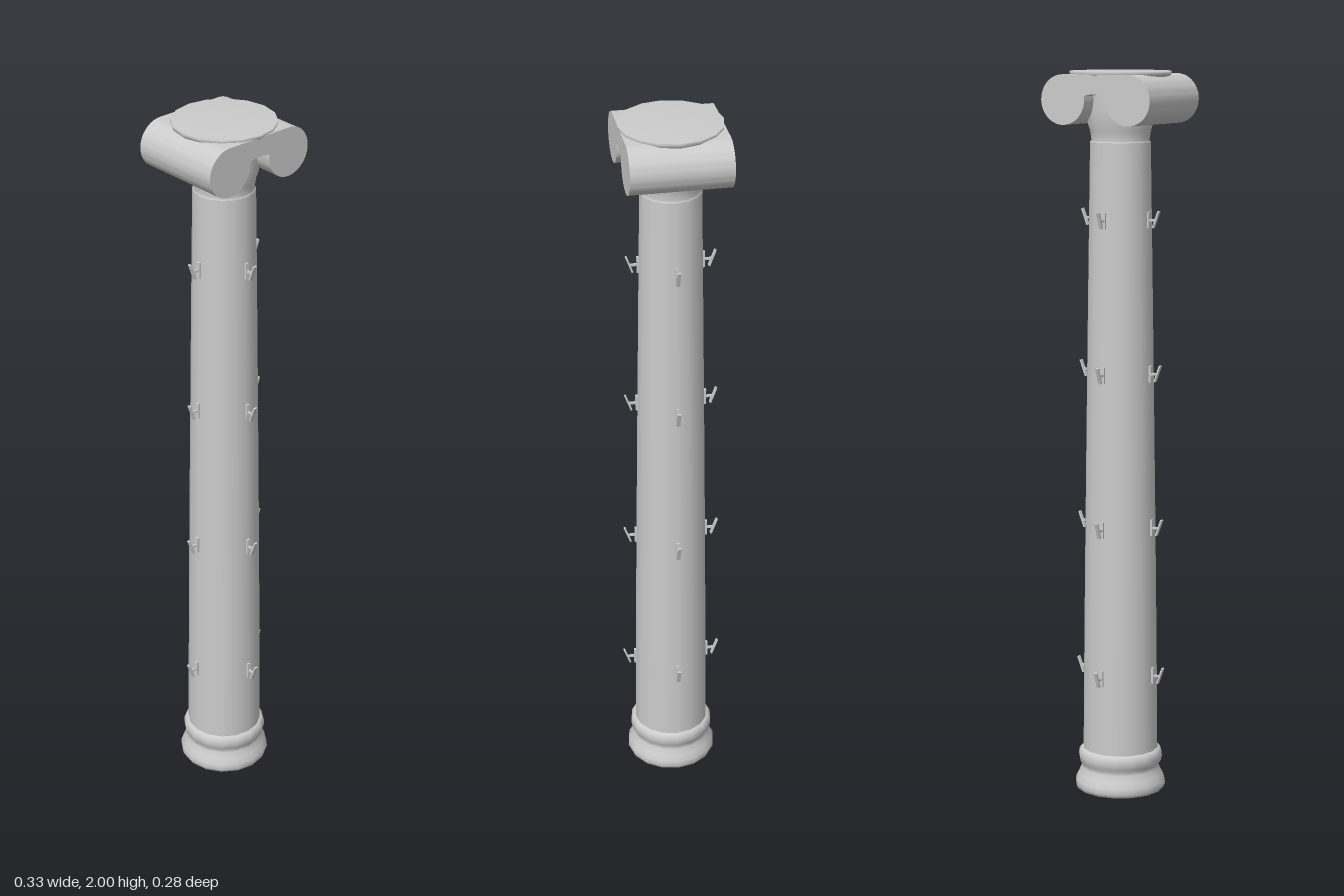
import * as THREE from 'three';
import { toCreasedNormals } from 'three/addons/utils/BufferGeometryUtils.js';

const SIDES = 16;

export function createModel() {
  const model = new THREE.Group();
  model.name = 'column';
  const material = new THREE.MeshStandardMaterial({ color: 0xcccccc, side: THREE.DoubleSide });

  const add = (name, geometry, parent = model) => {
    const mesh = new THREE.Mesh(geometry, material);
    mesh.name = name;
    parent.add(mesh);
    return mesh;
  };
  // Turned part; profile points are [radius, height], bottom to top
  const turned = (name, profile) =>
    add(name, new THREE.LatheGeometry(profile.map(([r, y]) => new THREE.Vector2(r, y)), SIDES));

  // Moulded base: wide foot, hollow, upper ring
  turned('base', [
    [0, 0], [0.122, 0], [0.127, 0.01], [0.126, 0.025], [0.117, 0.042], [0.109, 0.06],
    [0.109, 0.07], [0.115, 0.078], [0.118, 0.092], [0.117, 0.105], [0.111, 0.114], [0.1, 0.118],
  ]);

  // Tapering shaft with a slight swell
  const shaftRadius = (y) => 0.105 - 0.022 * Math.pow((y - 0.1) / 1.71, 1.2);
  const shaft = [];
  for (let i = 0; i <= 12; i++) {
    const y = 0.1 + (1.71 * i) / 12;
    shaft.push([shaftRadius(y), y]);
  }
  turned('shaft', shaft);

  // Flared neck below the scrolls
  turned('neck', [[0.083, 1.81], [0.079, 1.815], [0.083, 1.84], [0.09, 1.862], [0.093, 1.9], [0.093, 1.95]]);

  // Scroll block: two rolls joined by a sagging cushion, run from front to back
  const cx = 0.1, cy = 1.925, r = 0.067;
  const outline = new THREE.Shape();
  outline.moveTo(-cx, 1.988);
  outline.absarc(-cx, cy, r, Math.PI / 2, Math.PI * 2 + 0.15, false);
  outline.quadraticCurveTo(0, 1.946, cx - r * Math.cos(0.15), cy + r * Math.sin(0.15));
  outline.absarc(cx, cy, r, Math.PI - 0.15, Math.PI * 2.5, false);
  outline.lineTo(-cx, cy + r);
  const scrolls = new THREE.ExtrudeGeometry(outline, { depth: 0.27, bevelEnabled: false, curveSegments: 20 });
  scrolls.translate(0, 0, -0.135);
  add('scrolls', toCreasedNormals(scrolls, 0.7));

  // Round top slab
  turned('topSlab', [[0.125, 1.98], [0.134, 1.986], [0.138, 1.992], [0.138, 2], [0, 2]]);

  // Small brackets: four around the shaft at each of four levels
  for (const y of [0.335, 0.755, 1.183, 1.602]) {
    for (let i = 0; i < 4; i++) {
      const bracket = new THREE.Group();
      bracket.name = 'bracket';
      const radius = shaftRadius(y);
      add('wallPlate', new THREE.BoxGeometry(0.006, 0.045, 0.01), bracket).position.set(radius + 0.002, 0, 0);
      add('stem', new THREE.BoxGeometry(0.03, 0.006, 0.006), bracket).position.set(radius + 0.011, 0, 0);
      const hook = add('hook', new THREE.BoxGeometry(0.005, 0.048, 0.01), bracket);
      hook.position.set(radius + 0.025, 0.002, 0);
      hook.rotation.z = -0.36;
      bracket.position.y = y;
      bracket.rotation.y = (i * Math.PI) / 2;
      model.add(bracket);
    }
  }
  return model;
}
